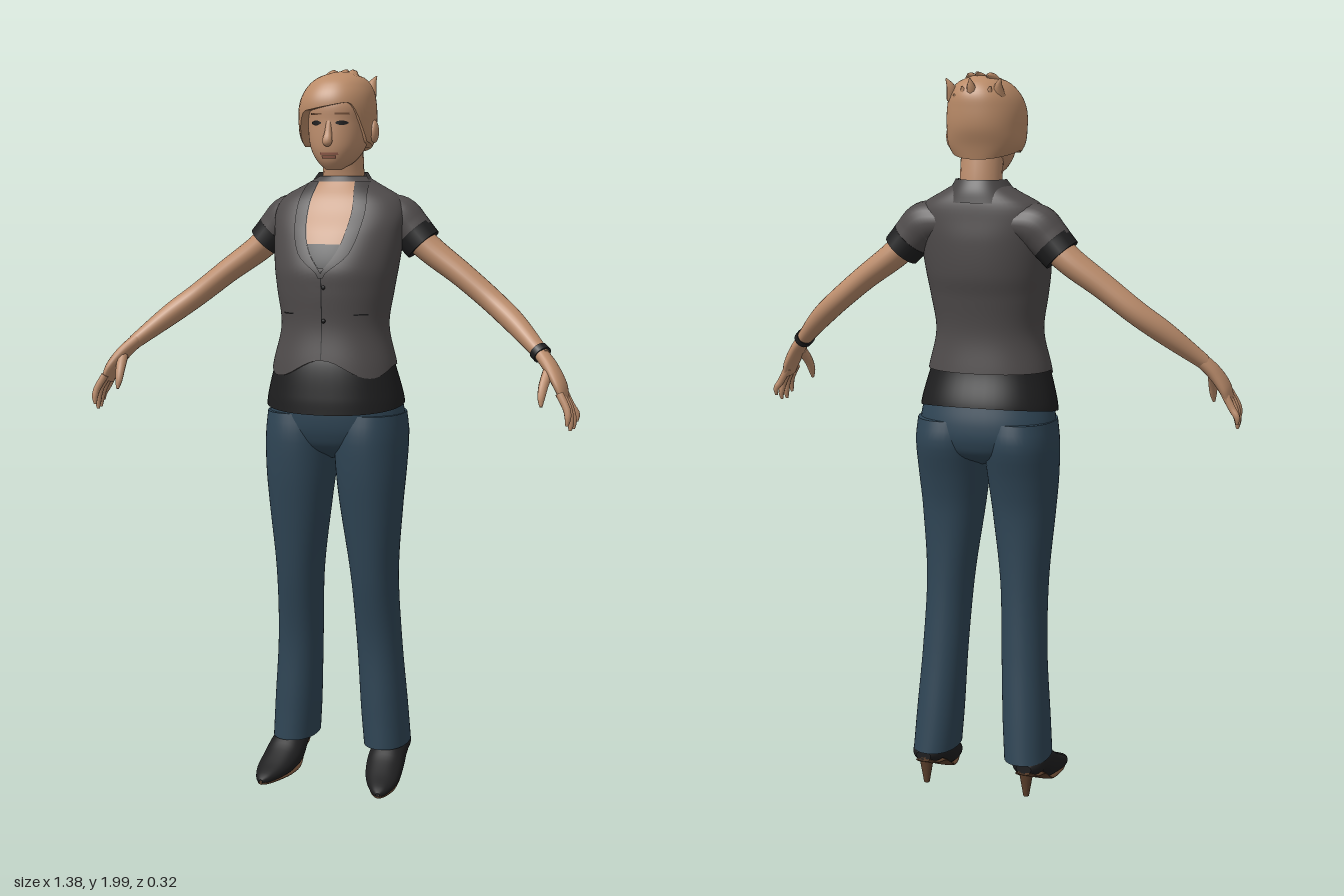
import * as THREE from 'three';

const mat = (name, color) => new THREE.MeshStandardMaterial({ name, color, side: THREE.DoubleSide });
const POWER = 2.2; // roundness of the body cross-sections

// Smooth value of every column of a table at t (the first column, ascending)
function at(table, t) {
  const n = table.length;
  let i = 0;
  while (i < n - 2 && t > table[i + 1][0]) i++;
  const p = table[i], q = table[i + 1], o = table[Math.max(i - 1, 0)], r = table[Math.min(i + 2, n - 1)];
  const d = q[0] - p[0], s = THREE.MathUtils.clamp((t - p[0]) / d, 0, 1);
  return p.map((_, k) => {
    const m0 = (q[k] - o[k]) / (q[0] - o[0]) * d, m1 = (r[k] - p[k]) / (r[0] - p[0]) * d;
    return (2 * s ** 3 - 3 * s * s + 1) * p[k] + (s ** 3 - 2 * s * s + s) * m0
      + (3 * s * s - 2 * s ** 3) * q[k] + (s ** 3 - s * s) * m1;
  });
}

// Surface from f(column, row) -> [x, y, z]
function grid(nu, nv, closed, f) {
  const pos = [], index = [], cols = closed ? nu : nu + 1;
  for (let j = 0; j <= nv; j++) for (let i = 0; i < cols; i++) pos.push(...f(i, j));
  for (let j = 0; j < nv; j++) for (let i = 0; i < nu; i++) {
    const a = j * cols + i, b = j * cols + (i + 1) % cols;
    index.push(a, a + cols, b, b, a + cols, b + cols);
  }
  const g = new THREE.BufferGeometry();
  g.setAttribute('position', new THREE.Float32BufferAttribute(pos, 3));
  g.setIndex(index);
  g.computeVertexNormals();
  return g;
}

// Rows 0,1 and the last two repeat the rims, so that the caps stay crisp
const capRow = (j, nv) => ({ v: THREE.MathUtils.clamp((j - 2) / (nv - 4), 0, 1), r: j === 0 || j === nv ? 0 : 1 });
const sp = c => Math.sign(c) * Math.abs(c) ** (2 / POWER);

// Loft of [t, cx, rx, high, low] sections; start may depend on the angle
function loft(table, start, end, { along = 'y', nv = 32, arc = null, nu = 44 } = {}) {
  return grid(nu, nv, !arc, (i, j) => {
    const a = arc ? arc[0] + (arc[1] - arc[0]) * i / nu : i / nu * Math.PI * 2;
    const { v, r } = arc ? { v: j / nv, r: 1 } : capRow(j, nv);
    const t0 = typeof start === 'function' ? start(a) : start, t = t0 + (end - t0) * v;
    const [, cx, rx, hi, lo] = at(table, t);
    const x = cx + r * rx * sp(Math.cos(a)), w = (hi + lo) / 2 + r * (hi - lo) / 2 * sp(Math.sin(a));
    return along === 'y' ? [x, t, w] : [x, w, t];
  });
}

// Limb through [x, y, z, radius in the front plane, radius in depth] rows
function limb(rows, nu = 20, nv = 24) {
  const curve = new THREE.CatmullRomCurve3(rows.map(r => new THREE.Vector3(r[0], r[1], r[2])));
  const radii = rows.map((r, i) => [i / (rows.length - 1), r[3], r[4] ?? r[3]]);
  return grid(nu, nv, true, (i, j) => {
    const { v, r } = capRow(j, nv), a = i / nu * Math.PI * 2, [, ra, rb] = at(radii, v);
    const T = curve.getTangent(v), side = T.clone().cross(new THREE.Vector3(0, 0, 1)).normalize();
    const deep = side.clone().cross(T);
    return curve.getPoint(v).addScaledVector(side, r * ra * Math.cos(a)).addScaledVector(deep, r * rb * Math.sin(a)).toArray();
  });
}

// Thin patch lying on the front of a loft, between xa(y) and xb(y)
function patch(table, y0, y1, xa, xb, off, nu = 12, nv = 20) {
  return grid(nu, nv, false, (i, j) => {
    const y = y0 + (y1 - y0) * j / nv, x = xb(y) + (xa(y) - xb(y)) * i / nu, [, cx, rx, hi, lo] = at(table, y);
    const k = Math.max(0, 1 - Math.abs((x - cx) / rx) ** POWER) ** (1 / POWER);
    return [x, y, (hi + lo) / 2 + (hi - lo) / 2 * k + off];
  });
}

const VEST = [[1.15, 0, .18, .147, -.125], [1.2, 0, .172, .142, -.118], [1.3, 0, .15, .13, -.11],
  [1.4, 0, .163, .136, -.125], [1.46, 0, .172, .135, -.14], [1.55, 0, .182, .1, -.146],
  [1.61, 0, .185, .06, -.142], [1.65, 0, .163, .035, -.138], [1.68, 0, .11, .01, -.13], [1.705, 0, .065, -.01, -.12]];
const SHIRT = [[1.06, 0, .196, .15, -.142], [1.11, 0, .19, .148, -.138], [1.2, 0, .166, .136, -.112], [1.28, 0, .14, .11, -.1]];
const PELVIS = [[.93, 0, .04, .03, -.04], [.96, 0, .13, .09, -.11], [1.0, 0, .185, .115, -.135], [1.05, 0, .192, .125, -.138], [1.12, 0, .18, .125, -.125]];
const LEG = [[.1, .137, .063, .042, -.148], [.2, .13, .064, .04, -.135], [.4, .118, .062, .042, -.11], [.6, .11, .065, .075, -.095],
  [.8, .104, .086, .103, -.097], [.9, .102, .096, .115, -.115], [1.0, .1, .1, .12, -.14], [1.06, .1, .094, .112, -.13]];
const SHOE = [[-.137, .15, .022, .1, .075], [-.11, .15, .042, .12, .06], [-.05, .15, .048, .12, .045], [0, .15, .053, .11, .012],
  [.05, .155, .052, .078, .005], [.1, .163, .043, .052, .004], [.15, .17, .021, .03, .005], [.165, .172, .006, .02, .009]];
const HEAD = [[1.722, 0, .02, .045, .005], [1.74, 0, .045, .06, -.05], [1.77, 0, .067, .07, -.09], [1.8, 0, .077, .073, -.11],
  [1.85, 0, .083, .073, -.13], [1.9, 0, .084, .072, -.135], [1.95, 0, .06, .04, -.12]];
const HAIR = [[1.75, -.005, .065, .03, -.115], [1.8, -.007, .1, .055, -.13], [1.85, -.007, .105, .08, -.148], [1.9, -.006, .102, .086, -.152],
  [1.94, -.003, .088, .07, -.148], [1.97, 0, .06, .035, -.125], [1.985, 0, .02, -.02, -.09]];
const OPENING = [[1.45, 0], [1.5, .036], [1.55, .054], [1.62, .062], [1.69, .052]];

export function createModel() {
  const skin = mat('skin', 0xbd8e6d), hairColor = mat('hair', 0xba8b68), grey = mat('vest grey', 0x4f4b4b),
    darkGrey = mat('lapel grey', 0x474444), black = mat('black cloth', 0x1e1e1f), denim = mat('denim', 0x2f4555),
    brown = mat('sole brown', 0x5c402c), lip = mat('lip', 0x96604e), brow = mat('brow', 0x7a553d);
  const model = new THREE.Group();
  const add = (parent, name, geometry, material, p) => {
    const m = new THREE.Mesh(geometry, material);
    m.name = name;
    if (p) m.position.set(...p);
    parent.add(m);
    return m;
  };
  const band = (h) => () => h;
  const open = y => at(OPENING, y)[1];

  // Trunk: jeans seat, undershirt and vest with a pointed front hem
  add(model, 'jeansSeat', loft(PELVIS, .93, 1.12), denim);
  add(model, 'undershirt', loft(SHIRT, a => 1.085 - .02 * Math.sin(a), 1.28), black);
  const vestHem = a => Math.sin(a) < 0 ? 1.195
    : 1.195 - .03 * Math.sin(2 * a) ** 2 + .018 * Math.max(0, Math.sin(a)) ** 12;
  add(model, 'vest', loft(VEST, vestHem, 1.705, { nv: 48, nu: 64 }), grey);
  add(model, 'chest', patch(VEST, 1.5, 1.69, y => -open(y), open, .003), skin);
  add(model, 'necklineInsert', patch(VEST, 1.46, 1.525, y => -open(y), open, .005), black);
  add(model, 'vestSeam', patch(VEST, 1.215, 1.455, band(-.0015), band(.0015), .002, 1), black);
  for (const y of [1.32, 1.41])
    add(model, 'button', new THREE.SphereGeometry(.006, 10, 8), black, [.006, y, .135]);
  const collar = [[1.655, 0, .115, .05, -.142], [1.685, 0, .088, .03, -.136], [1.715, 0, .068, .0, -.124]];
  add(model, 'collar', loft(collar, 1.655, 1.715, { arc: [Math.PI * .93, Math.PI * 2.07], nv: 8 }), darkGrey);

  // Neck and head
  add(model, 'neck', limb([[0, 1.6, -.06, .066, .056], [0, 1.69, -.066, .058, .052], [0, 1.82, -.045, .058, .056]]), skin);
  add(model, 'head', loft(HEAD, 1.722, 1.95), skin);
  add(model, 'nose', limb([[0, 1.85, .066, .008], [0, 1.82, .074, .01], [0, 1.797, .082, .014, .012], [0, 1.788, .076, .008]], 14, 16), skin);
  add(model, 'upperLip', patch(HEAD, 1.761, 1.768, band(-.026), band(.026), .003), lip);
  add(model, 'lowerLip', patch(HEAD, 1.752, 1.7605, band(-.02), band(.02), .005), lip);

  // Short hair: low at the nape and temples, fringe swept to the right
  const hairline = a => {
    const s = Math.sin(a);
    return s < 0 ? 1.79 + .022 * s : 1.79 + .1 * THREE.MathUtils.smoothstep(s, .35, .85) + .022 * Math.cos(a) * s;
  };
  add(model, 'hair', loft(HAIR, hairline, 1.985, { nu: 64 }), hairColor);
  for (let i = 0; i < 7; i++) {
    const x = (i - 3) * .022, y = 1.955 - .02 * (i % 3), z = -.125 + Math.abs(x) * .4;
    add(model, 'hairTuft', limb([[x, y - .03, z, .018], [x, y, z - .016, .012], [x * 1.15, y + .022, z - .026, .002]], 8, 10), hairColor);
  }
  for (const x of [-.03, 0, .025])
    add(model, 'crownTuft', limb([[x, 1.955, -.04, .025], [x, 1.978, -.07, .016], [x, 1.993 - Math.abs(x) * .3, -.1, .002]], 8, 10), hairColor);

  // Mirrored parts, built for the left side
  for (const s of [1, -1]) {
    const half = new THREE.Group();
    half.name = s > 0 ? 'leftSide' : 'rightSide';
    half.scale.x = s;
    model.add(half);

    // Face details
    const lens = (y0, y1, w) => y => w * Math.sin(Math.PI * THREE.MathUtils.clamp((y - y0) / (y1 - y0), .06, .94)) ** .7;
    const eye = lens(1.84, 1.853, .016);
    add(half, 'eye', patch(HEAD, 1.84, 1.853, y => .036 - eye(y), y => .036 + eye(y), .003), black);
    add(half, 'eyebrow', patch(HEAD, 1.868, 1.873, band(.018), band(.055), .003), brow);
    add(half, 'ear', new THREE.SphereGeometry(1, 16, 12), skin, [.098, 1.825, -.03]).scale.set(.012, .031, .02);

    // Lapel and pocket
    const lapelWidth = y => .036 * THREE.MathUtils.smoothstep(y, 1.41, 1.5);
    add(half, 'lapel', patch(VEST, 1.435, 1.69, open, y => open(y) + lapelWidth(y), .007), darkGrey);
    add(half, 'pocket', patch(VEST, 1.335, 1.339, band(.085), band(.12), .003), black);

    // Sleeve, cuff and bare arm
    add(half, 'sleeve', limb([[.1, 1.6, -.068, .05, .06], [.155, 1.592, -.068, .062, .06], [.19, 1.562, -.068, .058, .055], [.22, 1.53, -.068, .053, .052]]), grey);
    add(half, 'cuff', limb([[.2, 1.551, -.068, .057, .055], [.229, 1.519, -.068, .054, .054]]), black);
    add(half, 'arm', limb([[.17, 1.575, -.065, .042, .046], [.25, 1.505, -.068, .038, .047], [.34, 1.44, -.06, .034, .042],
      [.43, 1.37, -.045, .032, .038], [.5, 1.315, -.012, .03, .034], [.59, 1.236, .05, .02, .025]], 24, 40), skin);

    // Hand
    add(half, 'palm', limb([[.58, 1.245, .044, .019, .025], [.615, 1.207, .068, .019, .035], [.642, 1.165, .085, .017, .042], [.656, 1.13, .092, .011, .037]]), skin);
    for (let i = 0; i < 4; i++) {
      const z = .062 + i * .021, tip = [1.068, 1.052, 1.05, 1.066][i];
      add(half, 'finger', limb([[.648, 1.148, z, .011], [.67, 1.108, z + i * .003, .01], [.683 - i * .003, tip + .02, z + i * .006 - .004, .0085],
        [.684 - i * .004, tip, z + i * .006 - .002, .004]], 10, 14), skin);
    }
    add(half, 'thumb', limb([[.61, 1.2, .085, .015], [.604, 1.165, .117, .013], [.602, 1.135, .133, .01], [.603, 1.113, .14, .004]], 10, 14), skin);
    if (s > 0) add(half, 'bracelet', limb([[.574, 1.25, .04, .026, .03], [.587, 1.239, .048, .026, .03]]), black);

    // Trouser leg, pointed shoe, sole and thin heel
    add(half, 'jeansLeg', loft(LEG, .1, 1.06, { nv: 40 }), denim);
    add(half, 'shoe', loft(SHOE, .165, -.137, { along: 'z' }), black);
    const sole = SHOE.map(([z, cx, rx, , low]) => [z, cx, rx * .8, low + .008, low - .004]);
    add(half, 'sole', loft(sole, .165, -.137, { along: 'z' }), brown);
    add(half, 'heel', new THREE.CylinderGeometry(.021, .008, .075, 16), brown, [.15, .0375, -.112]);
  }
  return model;
}
